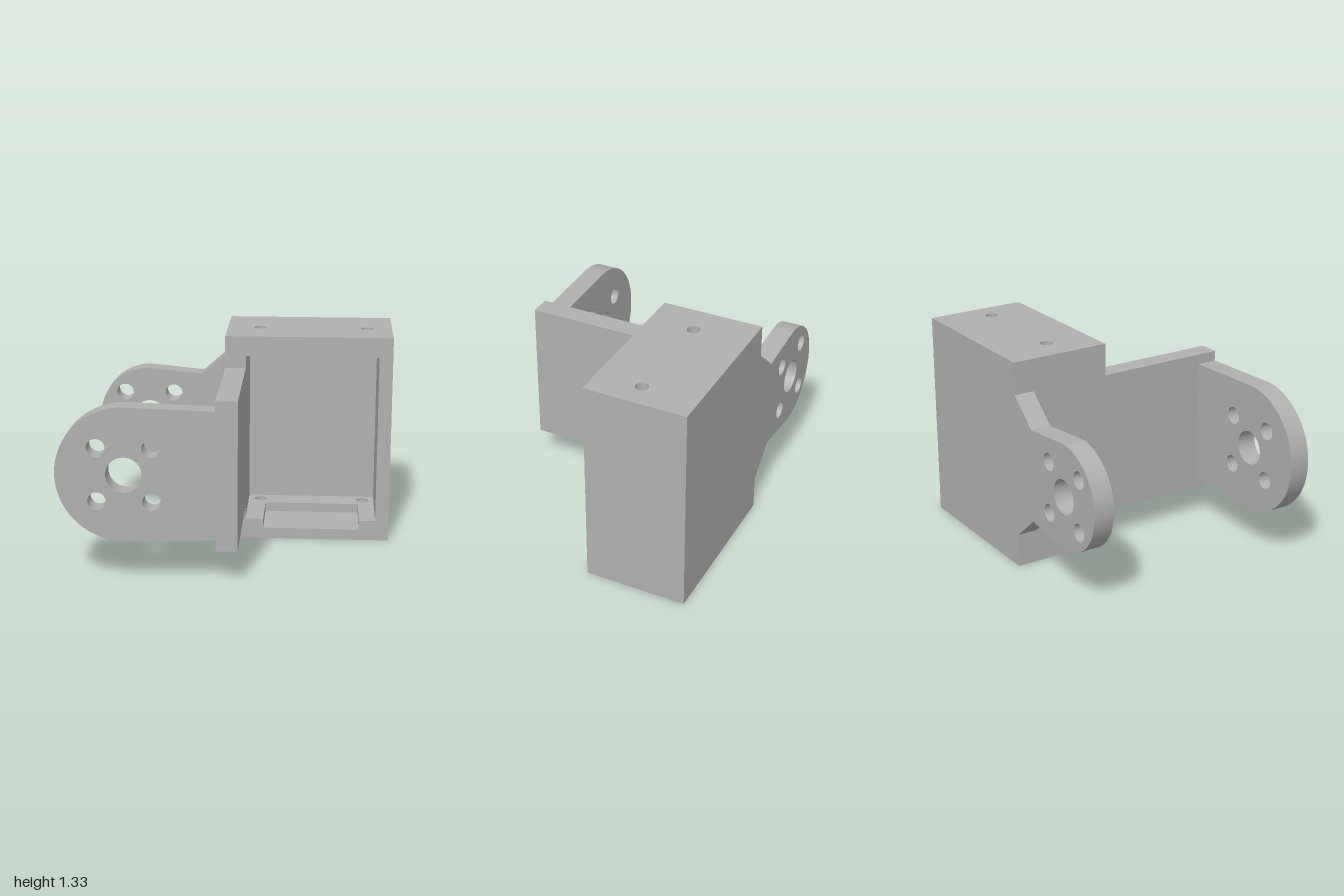
import * as THREE from 'three';

const BOX = { x0: -0.05, x1: 1, y1: 1.33, z0: -0.74, z1: -0.1 };
const CAVITY = { x0: 0.08, x1: 0.915, y0: 0.13, y1: 1.205, z0: -0.6 };
const PIVOT = { x: -0.59, y: 0.67 };
const ARM_THICKNESS = 0.13;

export function createModel() {
  const bracket = new THREE.Group();
  bracket.name = 'servoBracket';
  const grey = new THREE.MeshStandardMaterial({ color: 0xb0b0b0 });
  grey.name = 'grey plastic';

  const add = (name, geometry) => {
    const mesh = new THREE.Mesh(geometry, grey);
    mesh.name = name;
    bracket.add(mesh);
  };

  // Box given by its limits on each axis
  const block = (name, x0, x1, y0, y1, z0, z1) =>
    add(name, new THREE.BoxGeometry(x1 - x0, y1 - y0, z1 - z0)
      .translate((x0 + x1) / 2, (y0 + y1) / 2, (z0 + z1) / 2));

  const drill = (shape, x, y, r) =>
    shape.holes.push(new THREE.Path().absarc(x, y, r, 0, Math.PI * 2, true));

  const outline = (points) => new THREE.Shape(points.map(([x, y]) => new THREE.Vector2(x, y)));

  // Horizontal slab from an outline in (x, -z), with two screw holes
  const slab = (name, points, y0, y1, holeZ) => {
    const shape = outline(points.map(([x, z]) => [x, -z]));
    for (const x of [0.16, 0.84]) drill(shape, x, -holeZ, 0.04);
    add(name, new THREE.ExtrudeGeometry(shape, { depth: y1 - y0, bevelEnabled: false, curveSegments: 16 })
      .rotateX(-Math.PI / 2).translate(0, y0, 0));
  };

  // Rounded arm: root points run down from the top, then mirror about the pivot height
  const arm = (name, radius, root, z0) => {
    const shape = new THREE.Shape();
    shape.absarc(PIVOT.x, PIVOT.y, radius, Math.PI / 2, Math.PI * 1.5, false);
    for (const [x, h] of [...root].reverse()) shape.lineTo(x, PIVOT.y - h);
    for (const [x, h] of root) shape.lineTo(x, PIVOT.y + h);
    shape.closePath();
    drill(shape, PIVOT.x, PIVOT.y, 0.108);
    for (const sx of [-1, 1]) {
      for (const sy of [-1, 1]) drill(shape, PIVOT.x + sx * 0.163, PIVOT.y + sy * 0.163, 0.055);
    }
    add(name, new THREE.ExtrudeGeometry(shape, { depth: ARM_THICKNESS, bevelEnabled: false, curveSegments: 28 })
      .translate(0, 0, z0));
  };

  // Housing walls around the open cavity
  block('rightWall', BOX.x0, CAVITY.x0, 0, BOX.y1, BOX.z0, BOX.z1);
  block('leftWall', CAVITY.x1, BOX.x1, 0, BOX.y1, BOX.z0, BOX.z1);
  block('backWall', CAVITY.x0, CAVITY.x1, CAVITY.y0, CAVITY.y1, BOX.z0, CAVITY.z0);

  const { x0, x1 } = CAVITY;
  const { z0, z1 } = BOX;
  const full = [[x0, z1], [x1, z1], [x1, z0], [x0, z0]];
  slab('topWall', full, CAVITY.y1, BOX.y1, -0.39);
  slab('floorBase', full, 0, 0.07, -0.53);

  // Upper floor layer with a recess open to the front
  const recess = [[x0, z1], [0.195, z1], [0.195, -0.44], [0.81, -0.44], [0.81, z1], [x1, z1], [x1, z0], [x0, z0]];
  slab('floorLedge', recess, 0.07, CAVITY.y0, -0.53);

  // Bridge plate reaching forward from the housing
  block('bridgePlate', BOX.x0, CAVITY.x0, 0.21, 1.127, BOX.z1, 0.74);

  // Pivot arms
  arm('frontArm', 0.41, [[BOX.x0, 0.393]], 0.61);
  arm('backArm', 0.33, [[BOX.x0, 0.457], [-0.235, 0.295]], BOX.z0);

  return bracket;
}
